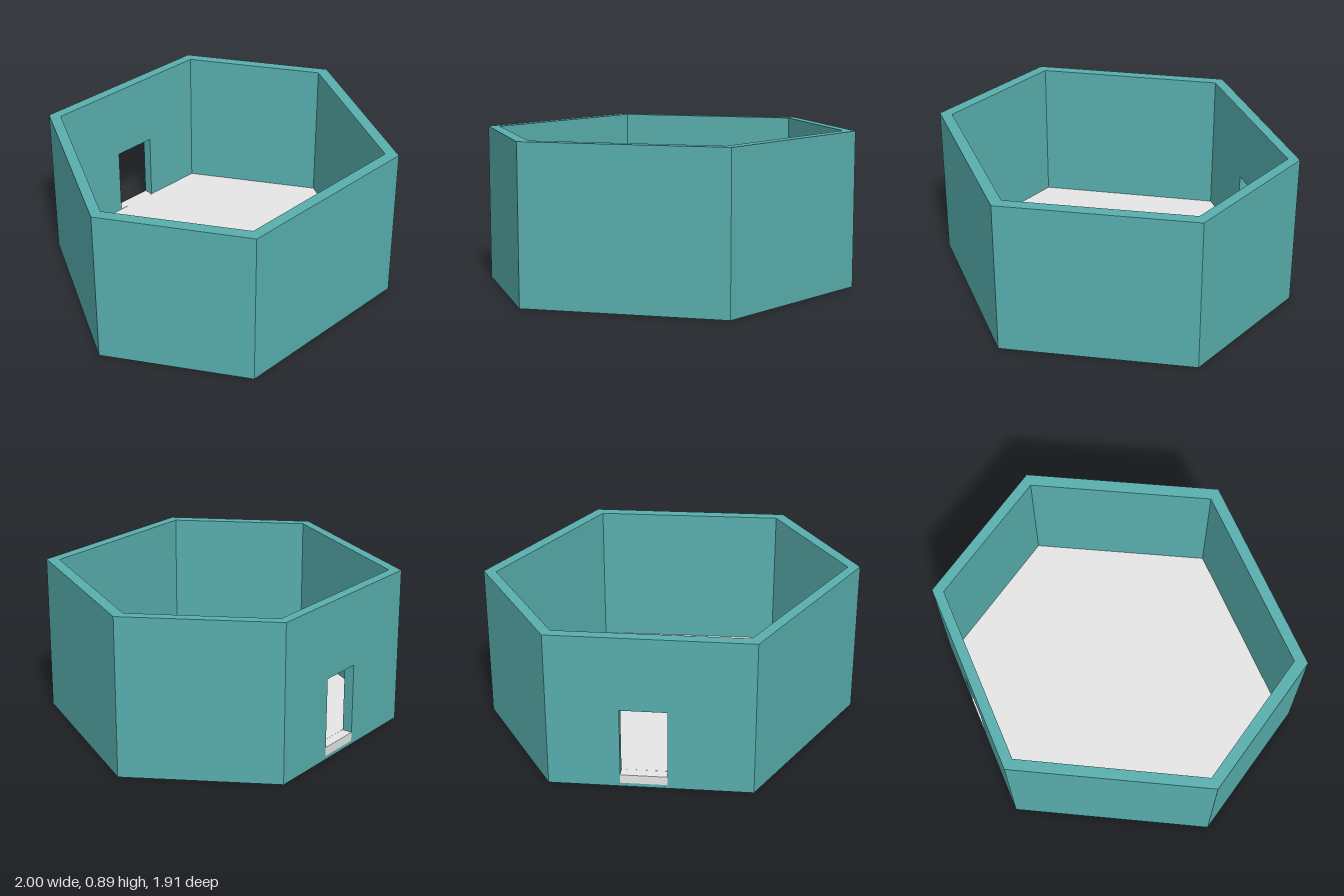
import * as THREE from 'three';

const teal = new THREE.MeshStandardMaterial({ color: 0x58afae });
teal.name = 'wall teal';
const grey = new THREE.MeshStandardMaterial({ color: 0xe6e6e6 });
grey.name = 'floor grey';

// Plan corners as [x, z], clockwise from above, starting at the back
const outer = [[-0.42, -0.955], [0.447, -0.955], [1, -0.02], [0.417, 0.955], [-0.44, 0.95], [-1, -0.02]];
const inner = [[-0.39, -0.897], [0.407, -0.897], [0.925, -0.02], [0.385, 0.888], [-0.41, 0.888], [-0.93, -0.02]];
const innerReversed = [...inner].reverse();

const BASE = 0.02, FLOOR = 0.07, DOOR_TOP = 0.465, HEIGHT = 0.888;

const toVectors = (points) => points.map(([x, z]) => new THREE.Vector2(x, -z));

// Upright prism over a plan outline, between two heights; a hole runs the opposite way round
function prism(name, material, outline, y0, y1, hole) {
  const shape = new THREE.Shape(toVectors(outline));
  if (hole) shape.holes.push(new THREE.Path(toVectors(hole)));
  const geometry = new THREE.ExtrudeGeometry(shape, { depth: y1 - y0, bevelEnabled: false });
  geometry.rotateX(-Math.PI / 2);
  geometry.translate(0, y0, 0);
  const mesh = new THREE.Mesh(geometry, material);
  mesh.name = name;
  return mesh;
}

// Point on the doorway wall, at fraction t along it and a depth inwards
function doorPoint(t, depth) {
  const [a, b] = [outer[0], outer[5]];
  const dx = b[0] - a[0], dz = b[1] - a[1], length = Math.hypot(dx, dz);
  return [a[0] + dx * t + (dz / length) * depth, a[1] + dz * t - (dx / length) * depth];
}

export function createModel() {
  const group = new THREE.Group();
  group.name = 'hexagonalRoom';

  // Doorway corners, outside and inside
  const thickness = 0.057;
  const [p1, p2] = [doorPoint(0.352, 0), doorPoint(0.582, 0)];
  const [q1, q2] = [doorPoint(0.352, thickness), doorPoint(0.582, thickness)];

  // Walls: an open ring beside the doorway, a closed ring above it
  const openRing = [p1, ...outer, p2, q2, ...innerReversed, q1];
  group.add(
    prism('base', teal, outer, 0, BASE),
    prism('lowerWalls', teal, openRing, BASE, DOOR_TOP),
    prism('upperWalls', teal, outer, DOOR_TOP, HEIGHT, innerReversed),
  );

  // Floor slab, carried through the doorway
  group.add(
    prism('floor', grey, inner, BASE, FLOOR),
    prism('threshold', grey, [p1, p2, q2, q1], BASE, FLOOR),
  );
  return group;
}
